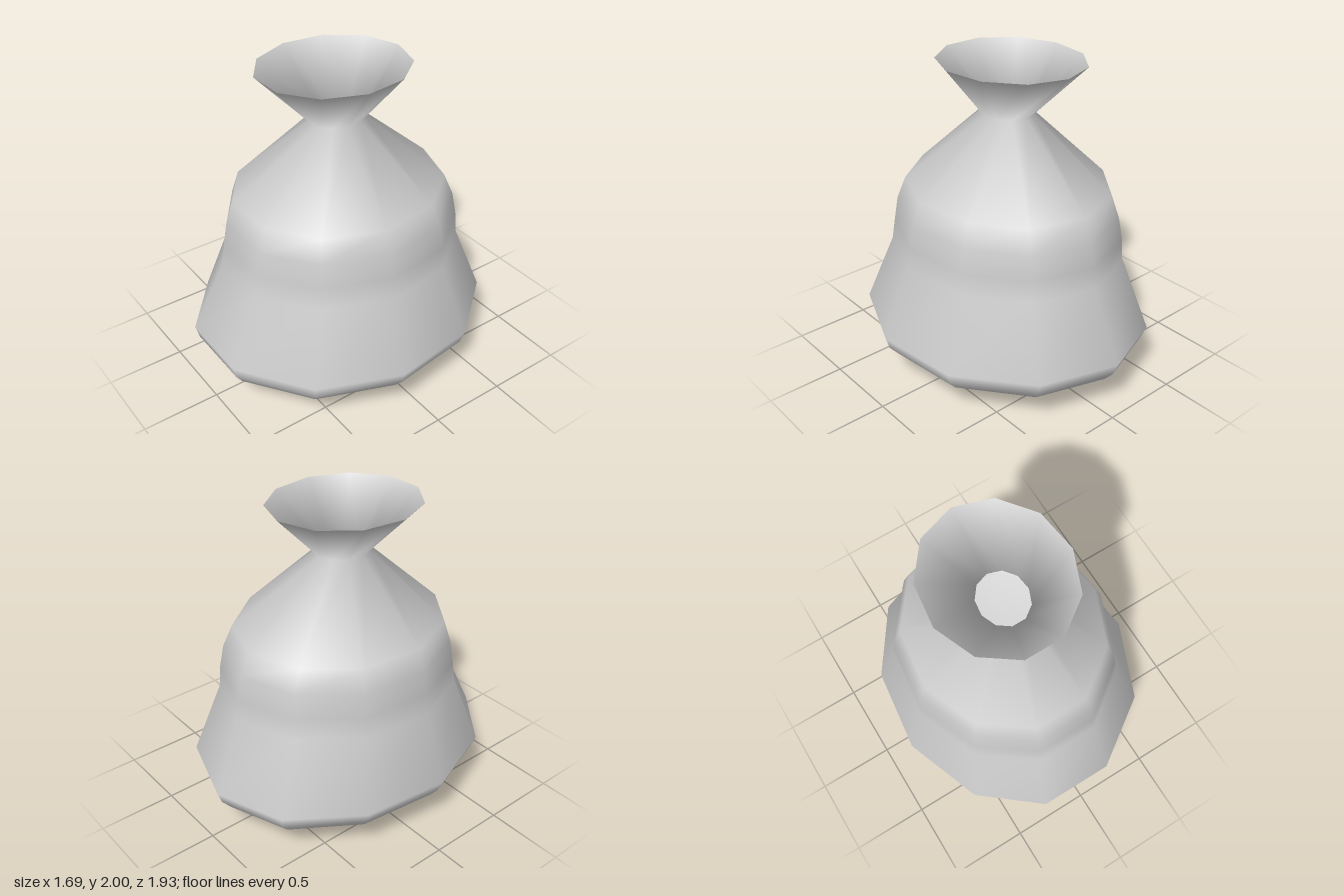
import * as THREE from 'three';

const SIDES = 11;

// Sack cross-sections from base to rim: y, xMin, xMax, zMin, zMax
const RINGS = [
  [0.165, -0.69, 0.70, -0.82, 0.835],
  [0.2, -0.755, 0.76, -0.88, 0.90],
  [0.27, -0.81, 0.82, -0.94, 0.945],
  [0.35, -0.845, 0.845, -0.97, 0.965],
  [0.8, -0.71, 0.67, -0.775, 0.77],
  [0.94, -0.70, 0.655, -0.765, 0.745],
  [1.09, -0.675, 0.63, -0.735, 0.72],
  [1.23, -0.635, 0.575, -0.675, 0.67],
  [1.68, -0.19, 0.12, -0.15, 0.195],
  [2.0, -0.495, 0.365, -0.465, 0.485],
];

// Eleven-sided loop with one corner at the back, fitted to the given extents
function ringPoints([y, x0, x1, z0, z1]) {
  const rx = (x1 - x0) / 2 / Math.sin((6 * Math.PI) / SIDES);
  const rz = (z1 - z0) / (1 + Math.cos(Math.PI / SIDES));
  const cx = (x0 + x1) / 2, cz = z0 + rz;
  // the wide base leans a little to one side at its front and back
  const lean = y < 0.5 ? -0.05 : 0;
  return Array.from({ length: SIDES }, (_, k) => {
    const a = (k / SIDES) * Math.PI * 2;
    return [cx + rx * Math.sin(a) + lean * Math.cos(a) ** 4, y, cz - rz * Math.cos(a)];
  });
}

function sackGeometry() {
  const points = RINGS.flatMap(ringPoints);
  const tip = points.push([-0.09, 0, 0.02]) - 1;
  const index = [];
  for (let k = 0; k < SIDES; k++) {
    const n = (k + 1) % SIDES;
    // pointed underside
    index.push(tip, k, n);
    // walls
    for (let r = 0; r < RINGS.length - 1; r++) {
      const a = r * SIDES + k, b = r * SIDES + n;
      index.push(a, a + SIDES, b, b, a + SIDES, b + SIDES);
    }
  }
  const geometry = new THREE.BufferGeometry();
  geometry.setAttribute('position', new THREE.Float32BufferAttribute(points.flat(), 3));
  geometry.setIndex(index);
  geometry.computeVertexNormals();
  return geometry;
}

export function createModel() {
  const group = new THREE.Group();
  group.name = 'tiedSack';
  const cloth = new THREE.MeshStandardMaterial({ color: 0xcccccc, side: THREE.DoubleSide });
  const sack = new THREE.Mesh(sackGeometry(), cloth);
  sack.name = 'sackCloth';
  group.add(sack);
  return group;
}
